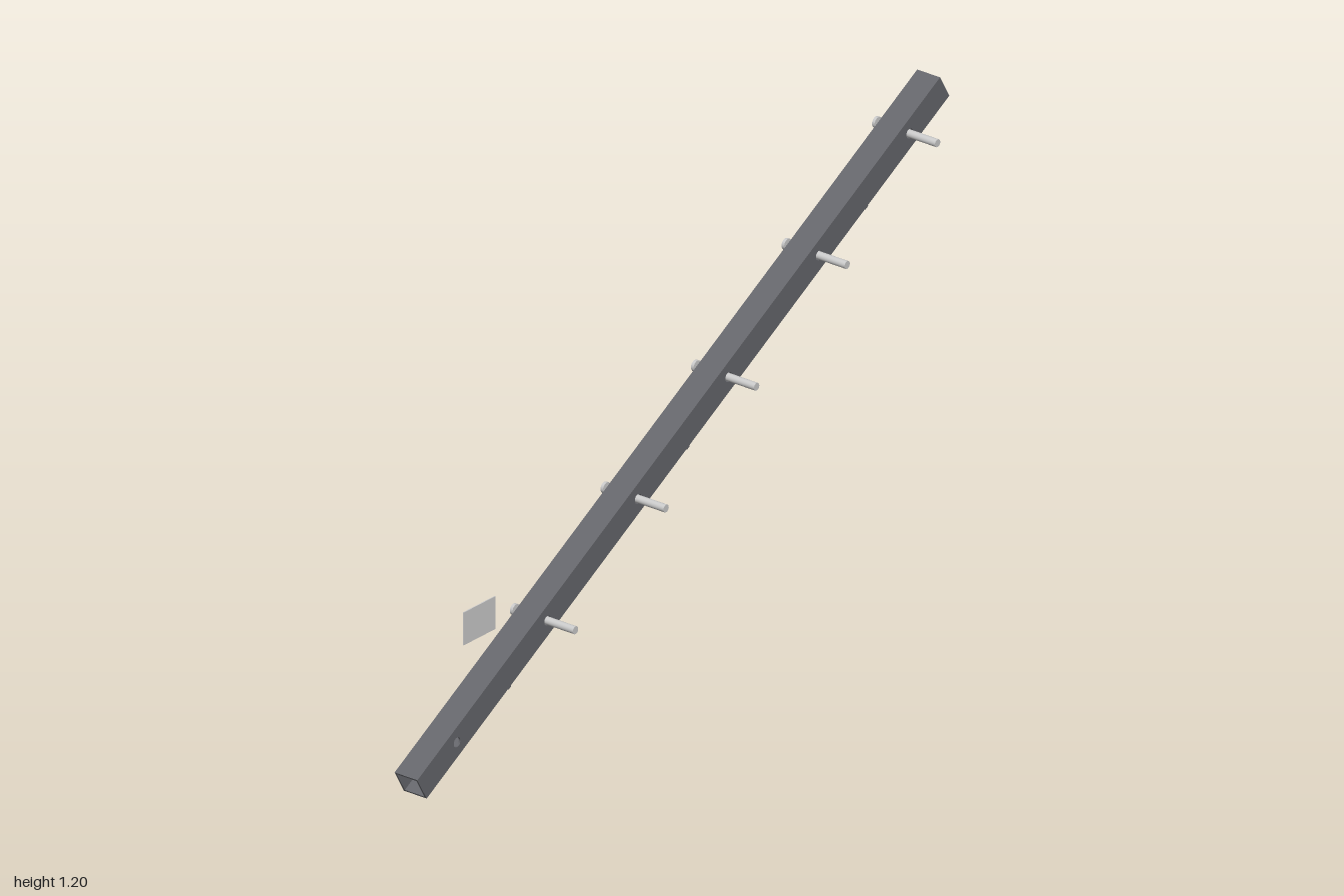
import * as THREE from 'three';

const LENGTH = 2.269, SIZE = 0.07, WALL = 0.005;
const Z_FRONT = 0.01, Z_BACK = Z_FRONT - SIZE;
const HOLE_RADIUS = 0.0125, HOLE_STEP = 0.393;

export function createModel() {
  const model = new THREE.Group();
  const dark = new THREE.MeshStandardMaterial({ color: 0x66676c });
  const grey = new THREE.MeshStandardMaterial({ color: 0xcccccc });

  const add = (parent, name, geometry, material, x, y, z) => {
    const mesh = new THREE.Mesh(geometry, material);
    mesh.name = name;
    mesh.position.set(x, y, z);
    parent.add(mesh);
    return mesh;
  };

  // Everything on the rail is laid out along x, then tilted by 30 degrees
  const rail = new THREE.Group();
  rail.name = 'rail';
  rail.rotation.z = Math.PI / 6;
  rail.position.y = 0.5975;
  model.add(rail);

  const stations = Array.from({ length: 6 }, (_, i) => (i - 2.5) * HOLE_STEP);

  // Drilled front and back walls of the hollow square tube
  const side = new THREE.Shape();
  side.moveTo(-LENGTH / 2, -SIZE / 2);
  side.lineTo(LENGTH / 2, -SIZE / 2);
  side.lineTo(LENGTH / 2, SIZE / 2);
  side.lineTo(-LENGTH / 2, SIZE / 2);
  side.closePath();
  for (const x of stations) {
    const hole = new THREE.Path();
    hole.absarc(x, 0, HOLE_RADIUS, 0, Math.PI * 2, true);
    side.holes.push(hole);
  }
  const wall = new THREE.ExtrudeGeometry(side, { depth: WALL, bevelEnabled: false, curveSegments: 24 });
  add(rail, 'frontWall', wall, dark, 0, 0, Z_FRONT - WALL);
  add(rail, 'backWall', wall, dark, 0, 0, Z_BACK);

  // Top and bottom walls
  const zMid = (Z_FRONT + Z_BACK) / 2;
  const plank = new THREE.BoxGeometry(LENGTH, WALL, SIZE - 2 * WALL);
  add(rail, 'topWall', plank, dark, 0, SIZE / 2 - WALL / 2, zMid);
  add(rail, 'bottomWall', plank, dark, 0, -SIZE / 2 + WALL / 2, zMid);

  // Thin strips across the underside
  for (const x of [-0.775, 0, 0.775]) {
    add(rail, 'undersideStrip', new THREE.BoxGeometry(0.012, 0.004, SIZE), dark, x, -SIZE / 2 - 0.001, zMid);
  }

  // Pegs in front and loose end caps behind, the lowest hole stays empty
  const peg = new THREE.CylinderGeometry(0.01, 0.01, 0.096, 24).rotateX(Math.PI / 2);
  const cap = new THREE.CylinderGeometry(0.0145, 0.0145, 0.008, 24).rotateX(Math.PI / 2);
  for (const x of stations.slice(1)) {
    add(rail, 'peg', peg, grey, x, 0, 0.048);
    add(rail, 'endCap', cap, grey, x, 0, -0.09);
  }

  // Upright thin plate above the low end
  add(model, 'plate', new THREE.BoxGeometry(0.12, 0.086, 0.003), grey, -0.68, 0.343, -0.0615);

  return model;
}
